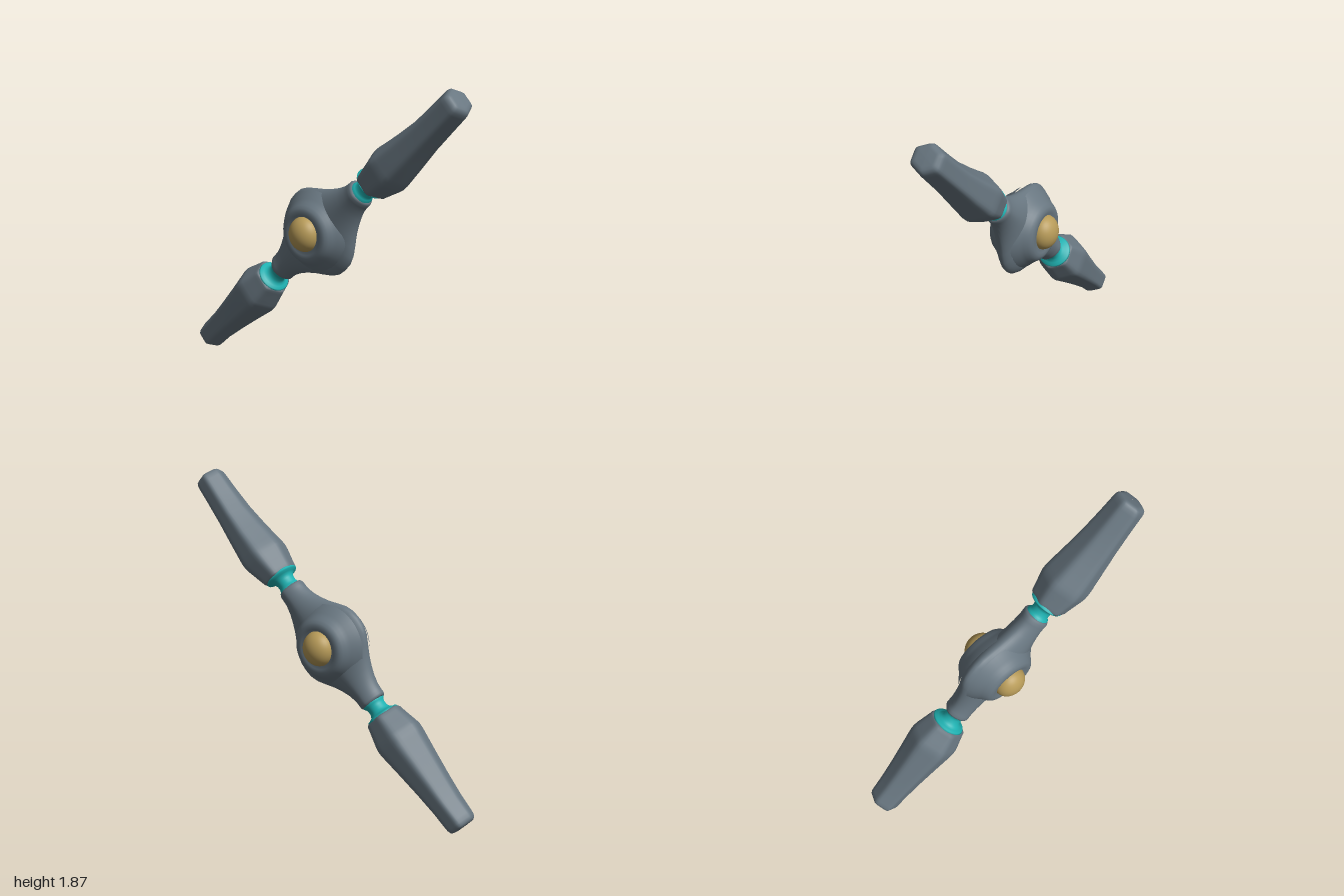
import * as THREE from 'three';

const SIDES = 48;

// Unit cross-sections: [across, depth] at an angle
const roundSection = (a) => [Math.cos(a), Math.sin(a)];
function hexSection(a) {
  // six-sided with softened corners, a ridge along each edge
  const p = 18;
  let sum = 0;
  for (let k = 0; k < 6; k++) {
    sum += Math.pow(Math.max(0, Math.cos(a - Math.PI / 6 - (k * Math.PI) / 3)), p);
  }
  const r = Math.pow(sum, -1 / p);
  return [(r * Math.cos(a)) / 1.11, r * Math.sin(a)];
}
function lensSection(a) {
  // ellipse pinched towards a rim
  const c = Math.cos(a), s = Math.sin(a);
  const r = Math.pow(Math.pow(Math.abs(c), 1.7) + Math.pow(Math.abs(s), 1.7), -1 / 1.7);
  return [r * c, r * s];
}

// Skin through stations [along, offset, halfWidth, halfDepth], along increasing
function loft(stations, section) {
  const pos = [], index = [];
  stations.forEach(([u, v, rv, rz]) => {
    for (let j = 0; j < SIDES; j++) {
      const [c, s] = section((j / SIDES) * Math.PI * 2);
      pos.push(u, v + c * rv, s * rz);
    }
  });
  for (let i = 0; i < stations.length - 1; i++) {
    for (let j = 0; j < SIDES; j++) {
      const k = (j + 1) % SIDES;
      const a = i * SIDES + j, b = i * SIDES + k;
      index.push(a, b, a + SIDES, b, b + SIDES, a + SIDES);
    }
  }
  const g = new THREE.BufferGeometry();
  g.setAttribute('position', new THREE.Float32BufferAttribute(pos, 3));
  g.setIndex(index);
  g.computeVertexNormals();
  return g;
}

// Same stations placed on the + or - end of the axis
const onSide = (stations, side) =>
  side > 0 ? stations : stations.map(([u, ...rest]) => [-u, ...rest]).reverse();

export function createModel() {
  const grey = new THREE.MeshStandardMaterial({ color: 0x687680 });
  grey.name = 'slate grey';
  const teal = new THREE.MeshStandardMaterial({ color: 0x1fb2b2 });
  teal.name = 'teal';
  const gold = new THREE.MeshStandardMaterial({ color: 0xb69a58 });
  gold.name = 'gold';

  const model = new THREE.Group();
  model.name = 'twoEndedProp';
  const shaft = new THREE.Group();
  shaft.name = 'shaft';
  shaft.position.set(-0.02, 0.945, 0);
  shaft.rotation.z = THREE.MathUtils.degToRad(43);
  model.add(shaft);

  const add = (parent, name, geometry, material) => {
    const mesh = new THREE.Mesh(geometry, material);
    mesh.name = name;
    parent.add(mesh);
    return mesh;
  };

  // Hub body: round disc drawn out into an arm on each side
  const half = [
    [0, 0.277, 0.105], [0.05, 0.272, 0.104], [0.1, 0.25, 0.102], [0.15, 0.211, 0.098],
    [0.2, 0.17, 0.093], [0.25, 0.137, 0.088], [0.3, 0.11, 0.084], [0.35, 0.092, 0.081],
    [0.385, 0.088, 0.082], [0.408, 0.087, 0.083], [0.42, 0.08, 0.077],
    [0.424, 0.068, 0.066], [0.424, 0.001, 0.001],
  ];
  const arm = half.map(([u, rv, rz]) => [u, -0.009, rv, rz]);
  add(shaft, 'hub', loft([...onSide(arm.slice(1), -1), ...arm], lensSection), grey);

  // Raised sockets and domes, front and back
  const bossProfile = [
    [0.245, 0.035], [0.225, 0.062], [0.205, 0.082], [0.188, 0.103], [0.174, 0.124],
    [0.158, 0.139], [0.14, 0.145], [0.12, 0.144], [0.105, 0.138], [0.001, 0.135],
  ].map(([x, y]) => new THREE.Vector2(x, y));
  const boss = new THREE.LatheGeometry(bossProfile, 48);
  const dome = new THREE.SphereGeometry(1, 40, 24);
  for (const side of [1, -1]) {
    const tag = side > 0 ? 'front' : 'back';
    const socket = add(shaft, tag + 'Socket', boss, grey);
    socket.rotation.x = (side * Math.PI) / 2;
    const ball = add(model, tag + 'Dome', dome, gold);
    ball.scale.set(0.099, 0.105, 0.085);
    ball.position.set(-0.021, 0.95, side * 0.13);
  }

  // Necks and blades: [along, halfWidth, halfDepth]
  const neck = [
    [0.405, 0.07, 0.07], [0.424, 0.07, 0.07], [0.434, 0.061, 0.061], [0.45, 0.056, 0.056],
    [0.475, 0.056, 0.057], [0.492, 0.064, 0.066], [0.503, 0.078, 0.082],
    [0.509, 0.096, 0.101], [0.518, 0.1, 0.106], [0.53, 0.09, 0.09],
  ];
  const blade = [
    [0.516, 0.001, 0.001], [0.515, 0.09, 0.09], [0.518, 0.103, 0.103], [0.527, 0.109, 0.108],
    [0.545, 0.113, 0.111], [0.6, 0.127, 0.123], [0.645, 0.139, 0.133], [0.67, 0.144, 0.137],
    [0.7, 0.143, 0.137], [0.73, 0.138, 0.135], [0.85, 0.121, 0.122], [1.0, 0.102, 0.107],
    [1.15, 0.092, 0.096], [1.25, 0.09, 0.09], [1.275, 0.088, 0.088], [1.292, 0.081, 0.081],
    [1.301, 0.068, 0.068], [1.304, 0.05, 0.05], [1.305, 0.001, 0.001],
  ];
  for (const side of [1, -1]) {
    const tag = side > 0 ? 'upper' : 'lower';
    // the upper blade sags slightly off the axis
    const offset = (u) => (side > 0 ? -0.013 - 0.016 * Math.sin(Math.PI * (u - 0.4) / 0.9) : -0.012);
    const width = side > 0 ? 0.96 : 1.06;
    const shift = side > 0 ? -0.004 : -0.01;
    const neckRows = neck.map(([u, rv, rz]) => [u, -0.013, rv, rz]);
    const bladeRows = blade.map(([u, rv, rz]) =>
      [u + shift * (u > 1 ? 1 : 0), offset(u), rv * (u > 1.1 ? 1 : width), rz]);
    add(shaft, tag + 'Neck', loft(onSide(neckRows, side), roundSection), teal);
    add(shaft, tag + 'Blade', loft(onSide(bladeRows, side), hexSection), grey);
  }
  return model;
}
